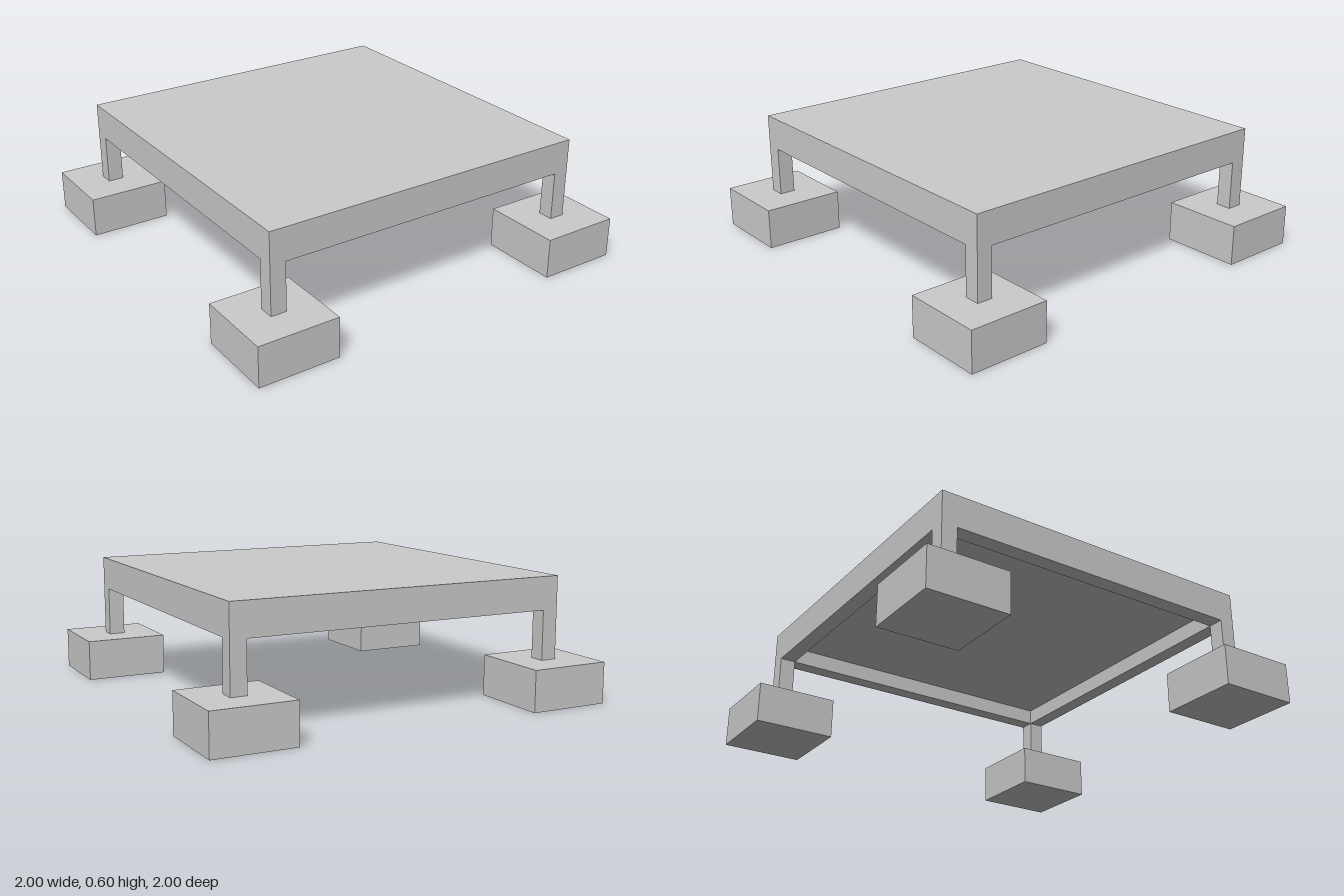
import * as THREE from 'three';

const material = new THREE.MeshStandardMaterial({ color: 0xcccccc, flatShading: true });

// Box given by its footprint, bottom and top heights
function block(name, width, bottom, top, x = 0, z = 0) {
  const mesh = new THREE.Mesh(new THREE.BoxGeometry(width, top - bottom, width), material);
  mesh.name = name;
  mesh.position.set(x, (bottom + top) / 2, z);
  return mesh;
}

function square(Type, h) {
  const s = new Type();
  s.moveTo(-h, -h);
  s.lineTo(h, -h);
  s.lineTo(h, h);
  s.lineTo(-h, h);
  s.closePath();
  return s;
}

export function createModel() {
  const model = new THREE.Group();
  model.name = 'table';

  // Tabletop: outer sides run down as one face with the apron, recessed underneath
  const tabletop = new THREE.Group();
  tabletop.name = 'tabletop';
  tabletop.add(block('topPanel', 1.675, 0.52, 0.6));

  // Rim under the edge of the panel
  const outline = square(THREE.Shape, 0.8375);
  outline.holes.push(square(THREE.Path, 0.76));
  const rimGeometry = new THREE.ExtrudeGeometry(outline, { depth: 0.08, bevelEnabled: false });
  rimGeometry.rotateX(-Math.PI / 2);
  const rim = new THREE.Mesh(rimGeometry, material);
  rim.name = 'rim';
  rim.position.y = 0.44;
  tabletop.add(rim);
  model.add(tabletop);

  // A slim post on a square foot at each corner
  for (const sx of [-1, 1]) {
    for (const sz of [-1, 1]) {
      const leg = new THREE.Group();
      leg.name = (sz > 0 ? 'front' : 'back') + (sx > 0 ? 'Left' : 'Right') + 'Leg';
      leg.add(block('post', 0.0775, 0.2, 0.44, sx * 0.79875, sz * 0.79875));
      leg.add(block('foot', 0.4, 0, 0.2, sx * 0.8, sz * 0.8));
      model.add(leg);
    }
  }
  return model;
}
